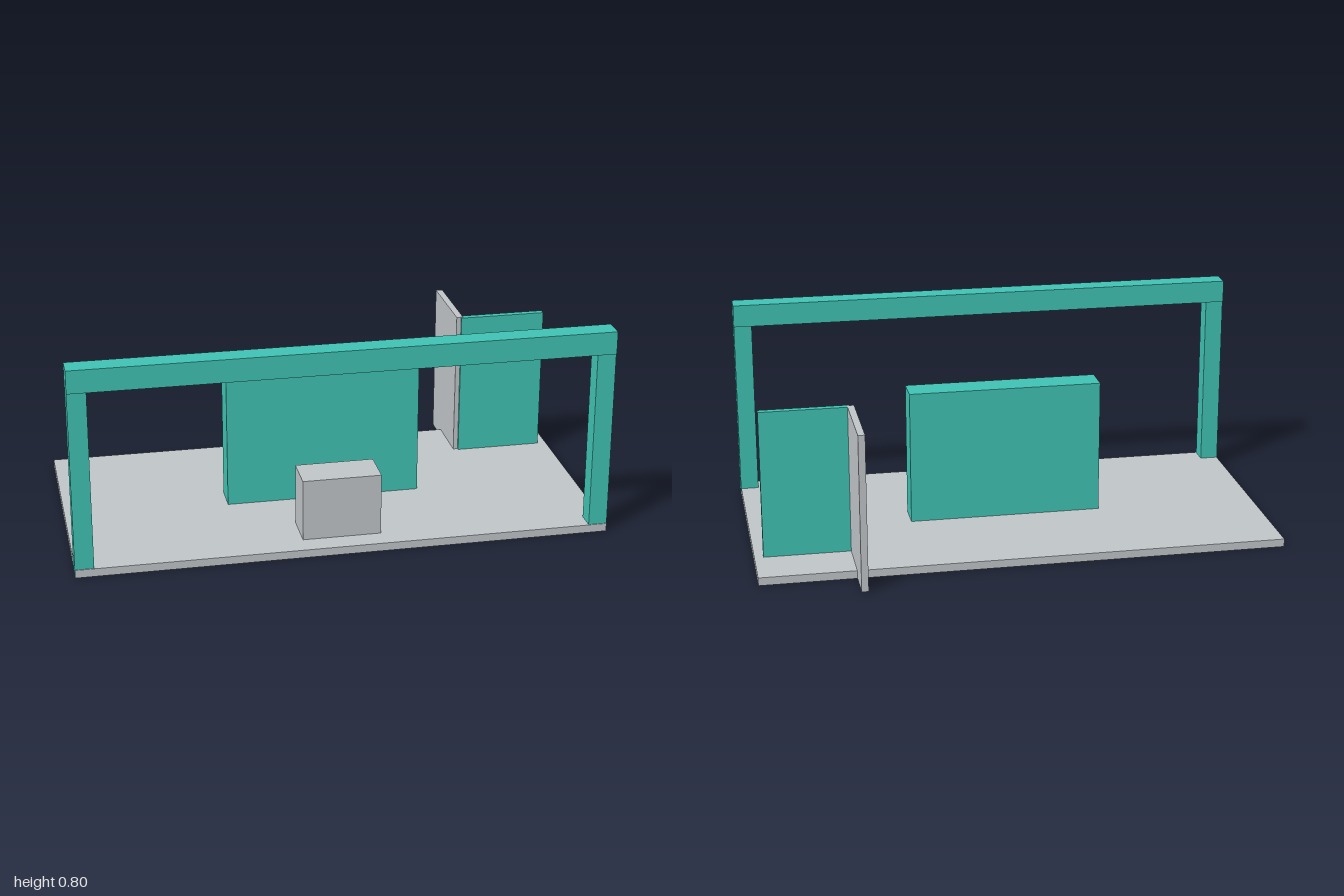
import * as THREE from 'three';

export function createModel() {
  const model = new THREE.Group();
  model.name = 'exhibitionStand';

  const teal = new THREE.MeshStandardMaterial({ color: 0x40c2b3 });
  teal.name = 'teal';
  const grey = new THREE.MeshStandardMaterial({ color: 0xc0c5c9 });
  grey.name = 'light grey';

  // Box given by its extents along each axis
  function block(name, material, [x0, x1], [y0, y1], [z0, z1]) {
    const mesh = new THREE.Mesh(new THREE.BoxGeometry(x1 - x0, y1 - y0, z1 - z0), material);
    mesh.position.set((x0 + x1) / 2, (y0 + y1) / 2, (z0 + z1) / 2);
    mesh.name = name;
    model.add(mesh);
  }

  const sunk = 0.002; // feet end just above the floor's underside

  // Floor slab
  block('floor', grey, [-0.999, 0.999], [0, 0.031], [-0.434, 0.561]);

  // Entrance frame: two posts and a slightly deeper beam
  block('rightPost', teal, [-1, -0.93], [sunk, 0.72], [0.486, 0.558]);
  block('leftPost', teal, [0.93, 1], [sunk, 0.72], [0.486, 0.558]);
  block('beam', teal, [-1, 1], [0.715, 0.802], [0.479, 0.563]);

  // Central wall and the counter before it
  block('centralWall', teal, [-0.374, 0.372], [sunk, 0.552], [0.006, 0.119]);
  block('counter', grey, [-0.149, 0.147], [sunk, 0.268], [0.326, 0.476]);

  // Corner screen: front panel and a fin reaching back past the floor
  block('cornerPanel', teal, [0.628, 0.965], [sunk, 0.601], [-0.244, -0.218]);
  block('cornerFin', grey, [0.61, 0.636], [0.001, 0.602], [-0.562, -0.227]);

  return model;
}
